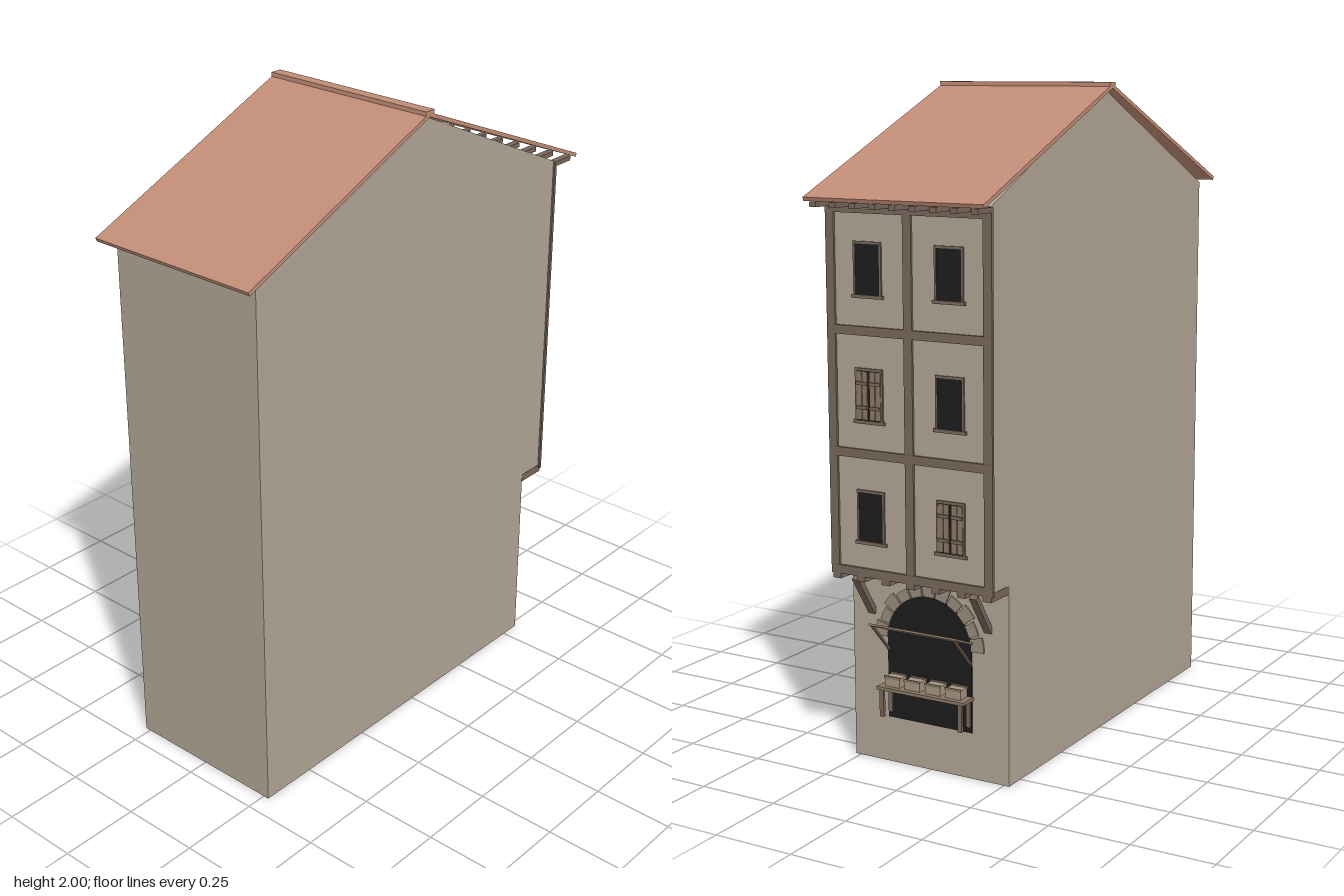
import * as THREE from 'three';

const mat = (name, color) => {
  const m = new THREE.MeshStandardMaterial({ color });
  m.name = name;
  return m;
};

export function createModel() {
  const root = new THREE.Group();
  root.name = 'townHouse';
  const plaster = mat('plaster', 0xb0a595);
  const tile = mat('roofTile', 0xc08c76);
  const timber = mat('timber', 0x78675a);
  const plank = mat('plank', 0x8a7864);
  const stone = mat('archStone', 0x978a7a);
  const goods = mat('goods', 0xa39480);
  const dark = mat('darkOpening', 0x1c1c1c);

  const add = (parent, name, geo, m) => {
    const mesh = new THREE.Mesh(geo, m);
    mesh.name = name;
    parent.add(mesh);
    return mesh;
  };
  const group = (name) => {
    const g = new THREE.Group();
    g.name = name;
    root.add(g);
    return g;
  };
  const box = (parent, name, m, w, h, d, x, y, z) => {
    const b = add(parent, name, new THREE.BoxGeometry(w, h, d), m);
    b.position.set(x, y, z);
    return b;
  };
  // Sloping bar or slab between two points (z, y) of a side section
  const bar = (parent, name, m, w, t, x, [z0, y0], [z1, y1]) => {
    const b = box(parent, name, m, w, t, Math.hypot(z1 - z0, y1 - y0), x, (y0 + y1) / 2, (z0 + z1) / 2);
    b.rotation.x = Math.atan2(y0 - y1, z1 - z0);
    return b;
  };

  const GROUND = -0.565, FACE = -0.657;

  // Walls: side section with gable and jettied street face
  const section = new THREE.Shape(
    [[0.685, 0], [0.685, 1.67], [0, 1.98], [FACE, 1.675], [FACE, 0.6], [GROUND, 0.6], [GROUND, 0]]
      .map(([z, y]) => new THREE.Vector2(z, y)));
  const walls = new THREE.ExtrudeGeometry(section, { depth: 0.536, bevelEnabled: false });
  walls.rotateY(-Math.PI / 2).translate(0.268, 0, 0);
  add(root, 'walls', walls, plaster);

  // Roof slabs, ridge and eave rafters
  const roof = group('roof');
  for (const s of [-1, 1]) bar(roof, 'roofSlope', tile, 0.59, 0.012, 0, [0, 1.988], [s * 0.737, 1.681]);
  box(roof, 'ridge', tile, 0.59, 0.018, 0.036, 0, 1.991, 0);
  for (let i = 0; i < 9; i++)
    box(roof, 'eaveRafter', timber, 0.022, 0.015, 0.08, -0.264 + i * 0.066, 1.667, -0.695);

  // Timber frame on the upper storeys
  const frame = group('timberFrame');
  for (const x of [-0.26, 0, 0.26]) box(frame, 'post', timber, 0.028, 1.08, 0.01, x, 1.13, FACE - 0.002);
  for (const y of [0.604, 0.955, 1.31, 1.655]) box(frame, 'rail', timber, 0.546, 0.026, 0.011, 0, y, FACE - 0.002);

  // Jetty joists and braces
  const jetty = group('jetty');
  for (let i = 0; i < 7; i++)
    box(jetty, 'joist', timber, 0.028, 0.025, 0.1, -0.255 + i * 0.085, 0.588, -0.614);
  for (const x of [-0.2, 0.2]) bar(jetty, 'brace', timber, 0.024, 0.016, x, [-0.563, 0.455], [-0.645, 0.578]);

  // Windows, two of them shuttered
  const windows = group('windows');
  [0.77, 1.125, 1.485].forEach((y, floor) => {
    for (const side of [-1, 1]) {
      const x = side * 0.135;
      box(windows, 'windowOpening', dark, 0.084, 0.145, 0.004, x, y, FACE - 0.001);
      box(windows, 'windowSill', timber, 0.106, 0.01, 0.009, x, y - 0.077, FACE - 0.003);
      box(windows, 'windowHead', timber, 0.094, 0.007, 0.006, x, y + 0.075, FACE - 0.002);
      for (const s of [-1, 1]) box(windows, 'windowJamb', timber, 0.006, 0.145, 0.006, x + s * 0.044, y, FACE - 0.002);
      if ((floor === 0 && side < 0) || (floor === 1 && side > 0)) {
        for (const s of [-1, 1]) {
          for (let k = 0; k < 2; k++)
            box(windows, 'shutterPlank', plank, 0.0165, 0.138, 0.004, x + s * (0.013 + k * 0.019), y, FACE - 0.004);
          for (const dy of [-0.035, 0.035])
            box(windows, 'shutterBatten', timber, 0.037, 0.01, 0.005, x + s * 0.0225, y + dy, FACE - 0.008);
        }
      }
    }
  });

  // Arched shop opening with a ring of stones
  const shop = group('shop');
  const R = 0.145, SPRING = 0.385, SILL = 0.14;
  const arch = new THREE.Shape();
  arch.moveTo(-R, SILL).lineTo(R, SILL).lineTo(R, SPRING);
  arch.absarc(0, SPRING, R, 0, Math.PI, false);
  const opening = new THREE.ExtrudeGeometry(arch, { depth: 0.004, bevelEnabled: false, curveSegments: 16 });
  add(shop, 'shopOpening', opening, dark).position.z = GROUND - 0.003;
  const count = 11;
  for (let i = 0; i < count; i++) {
    const a0 = (i + 0.06) * Math.PI / count, a1 = (i + 0.94) * Math.PI / count;
    const outer = R + (i % 2 ? 0.032 : 0.042);
    const wedge = new THREE.Shape();
    wedge.absarc(0, 0, outer, a0, a1, false);
    wedge.absarc(0, 0, R, a1, a0, true);
    const g = new THREE.ExtrudeGeometry(wedge, { depth: 0.006, bevelEnabled: false, curveSegments: 2 });
    add(shop, 'archStone', g, stone).position.set(0, SPRING, GROUND - 0.005);
  }

  // Raised shop flap with its props
  bar(shop, 'flap', plank, 0.3, 0.006, 0, [GROUND, 0.41], [-0.66, 0.449]);
  for (const x of [-0.14, 0.14]) bar(shop, 'flapProp', timber, 0.008, 0.006, x, [GROUND, 0.347], [-0.658, 0.447]);

  // Counter on legs with crates of goods
  box(shop, 'counter', plank, 0.3, 0.01, 0.06, 0, 0.245, -0.594);
  for (const x of [-0.135, 0.135])
    for (const z of [-0.569, -0.616]) box(shop, 'counterLeg', timber, 0.014, 0.085, 0.009, x, 0.2, z);
  for (let i = 0; i < 4; i++) {
    const x = -0.105 + i * 0.07;
    box(shop, 'crate', goods, 0.052, 0.028, 0.036, x, 0.264, -0.59);
    for (const s of [-1, 1]) box(shop, 'crateRim', plank, 0.056, 0.008, 0.004, x, 0.278, -0.59 + s * 0.018);
  }
  return root;
}
